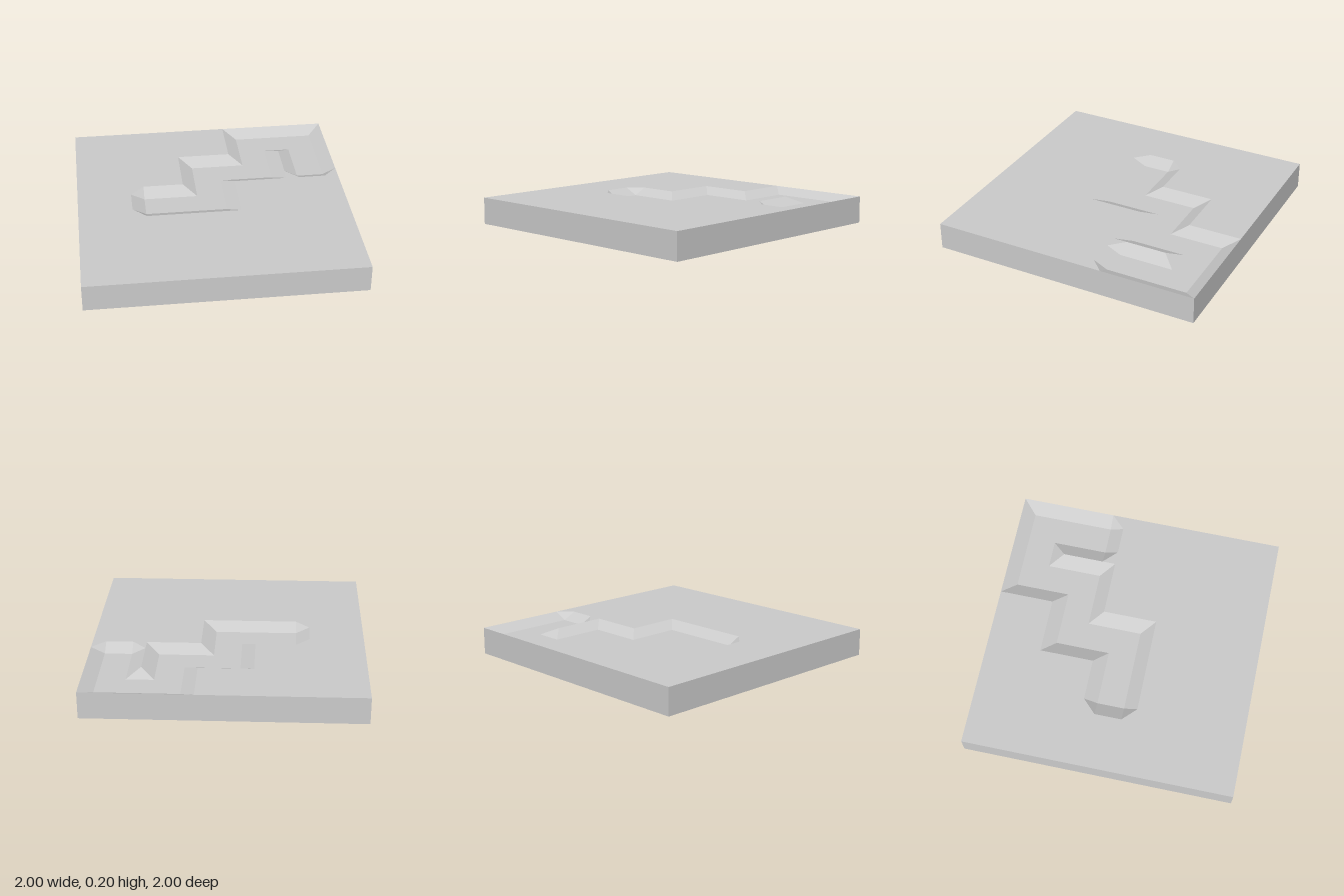
import * as THREE from 'three';

const HEIGHT = 0.2, DEPTH = 0.05, N = 10; // grid runs from -N to N in steps of 0.1

// Sunken floor areas in grid steps: x0, x1, z0, z1
const FLOORS = [
  [-5, 1, -1, 1], [-1, 1, -5, -1], [-1, 5, -5, -3],
  [3, 5, -9, -3], [3, 9, -9, -7], [7, 9, -9, -3],
];
// Cells whose diagonal runs the other way
const FLIPPED = new Set(['9,-10', '9,-3', '-6,-2', '6,-7']);

function groundPoint(i, j) {
  const low = FLOORS.some(([x0, x1, z0, z1]) => i >= x0 && i <= x1 && j >= z0 && j <= z1);
  return [i / N, low ? HEIGHT - DEPTH : HEIGHT, j / N];
}

function meshFrom(name, triangles, material) {
  const geometry = new THREE.BufferGeometry();
  geometry.setAttribute('position', new THREE.Float32BufferAttribute(triangles.flat(2), 3));
  geometry.computeVertexNormals();
  const mesh = new THREE.Mesh(geometry, material);
  mesh.name = name;
  return mesh;
}

export function createModel() {
  const group = new THREE.Group();
  group.name = 'groundTile';
  const material = new THREE.MeshStandardMaterial({ color: 0xcccccc, flatShading: true });

  // Top surface with the stepped channel sloping down into it
  const top = [];
  for (let i = -N; i < N; i++) {
    for (let j = -N; j < N; j++) {
      const a = groundPoint(i, j), b = groundPoint(i, j + 1);
      const c = groundPoint(i + 1, j + 1), d = groundPoint(i + 1, j);
      if (FLIPPED.has(`${i},${j}`)) top.push([a, b, d], [b, c, d]);
      else top.push([a, b, c], [a, c, d]);
    }
  }
  group.add(meshFrom('sunkenGround', top, material));

  // Four side walls and the underside
  const corners = [[-1, 1], [1, 1], [1, -1], [-1, -1]];
  const at = (k, y) => [corners[k % 4][0], y, corners[k % 4][1]];
  const sides = [];
  for (let k = 0; k < 4; k++) {
    const a = at(k, 0), b = at(k + 1, 0), c = at(k + 1, HEIGHT), d = at(k, HEIGHT);
    sides.push([a, b, c], [a, c, d]);
  }
  group.add(meshFrom('sideWalls', sides, material));
  const underside = [[at(0, 0), at(3, 0), at(2, 0)], [at(0, 0), at(2, 0), at(1, 0)]];
  group.add(meshFrom('underside', underside, material));

  return group;
}
